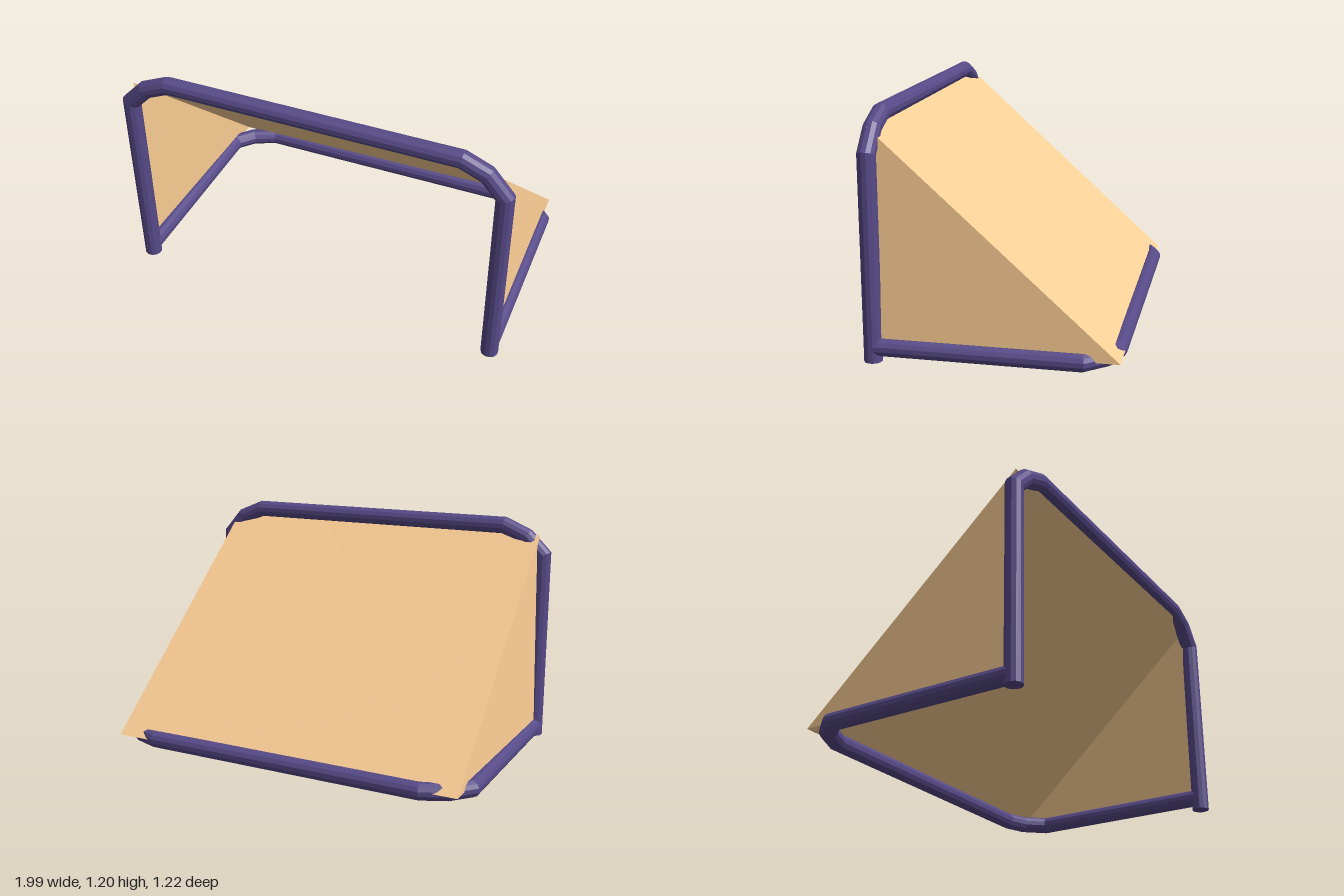
import * as THREE from 'three';

const SIDES = 12;
const RADIUS = 0.044;
const V = (x, y, z) => new THREE.Vector3(x, y, z);

// Pipe with mitred joints along a path that lies in the plane of the given normal
function pipe(name, path, normal, material) {
  const pos = [], index = [];
  const last = path.length - 1;
  path.forEach((p, i) => {
    const before = p.clone().sub(path[Math.max(i - 1, 0)]).normalize();
    const after = path[Math.min(i + 1, last)].clone().sub(p).normalize();
    const tangent = before.clone().add(after).normalize();
    const side = tangent.clone().cross(normal).normalize();
    const stretch = 1 / tangent.dot(i < last ? after : before);
    for (let j = 0; j < SIDES; j++) {
      const a = ((j + 0.5) / SIDES) * Math.PI * 2;
      const q = p.clone()
        .addScaledVector(normal, RADIUS * Math.cos(a))
        .addScaledVector(side, RADIUS * Math.sin(a) * stretch);
      pos.push(q.x, q.y, q.z);
    }
  });
  for (let i = 0; i < last; i++) {
    for (let j = 0; j < SIDES; j++) {
      const a = i * SIDES + j, b = i * SIDES + (j + 1) % SIDES;
      index.push(a, b, b + SIDES, a, b + SIDES, a + SIDES);
    }
  }
  // end caps
  const end = last * SIDES;
  for (let j = 1; j < SIDES - 1; j++) {
    index.push(0, j + 1, j, end, end + j, end + j + 1);
  }
  const geometry = new THREE.BufferGeometry();
  geometry.setAttribute('position', new THREE.Float32BufferAttribute(pos, 3));
  geometry.setIndex(index);
  geometry.computeVertexNormals();
  const mesh = new THREE.Mesh(geometry, material);
  mesh.name = name;
  return mesh;
}

// Thin sheet bilinearly spanned between four corners (a repeated corner gives a triangle)
function sheet(name, [a, b, c, d], material) {
  const geometry = new THREE.PlaneGeometry(1, 1, 8, 8);
  const p = geometry.attributes.position;
  for (let i = 0; i < p.count; i++) {
    const u = p.getX(i) + 0.5, v = p.getY(i) + 0.5;
    const q = a.clone().lerp(b, u).lerp(d.clone().lerp(c, u), v);
    p.setXYZ(i, q.x, q.y, q.z);
  }
  geometry.computeVertexNormals();
  const mesh = new THREE.Mesh(geometry, material);
  mesh.name = name;
  return mesh;
}

export function createModel() {
  const group = new THREE.Group();
  group.name = 'goal';
  const frame = new THREE.MeshStandardMaterial({ color: 0x574a88, flatShading: true });
  const net = new THREE.MeshStandardMaterial({ color: 0xfecf96, side: THREE.DoubleSide });

  // upright frame: two posts and a crossbar with chamfered corners
  group.add(pipe('frontFrame', [
    V(-0.955, 0.02, 0.565), V(-0.955, 1.01, 0.565), V(-0.865, 1.1, 0.565),
    V(-0.74, 1.153, 0.565), V(0.74, 1.141, 0.565), V(0.86, 1.09, 0.565),
    V(0.95, 0.985, 0.565), V(0.95, 0, 0.565),
  ], V(0, 0, 1), frame));

  // ground frame: two side rails and a rear rail
  group.add(pipe('groundFrame', [
    V(-0.955, 0.071, 0.565), V(-0.955, 0.071, -0.425), V(-0.875, 0.071, -0.515),
    V(-0.75, 0.071, -0.57), V(0.75, 0.071, -0.56), V(0.86, 0.071, -0.52),
    V(0.95, 0.071, -0.42), V(0.95, 0.071, 0.565),
  ], V(0, 1, 0), frame));

  // net: sloping back sheet and a triangle on each side
  const topRight = V(-0.935, 1.115, 0.56), topLeft = V(0.908, 1.103, 0.578);
  const backRight = V(-0.945, 0.075, -0.585), backLeft = V(0.953, 0.075, -0.597);
  const footRight = V(-0.965, 0.075, 0.555), footLeft = V(0.955, 0.075, 0.555);
  group.add(sheet('backNet', [backLeft, backRight, topRight, topLeft], net));
  group.add(sheet('rightNet', [backRight, footRight, topRight, topRight], net));
  group.add(sheet('leftNet', [footLeft, backLeft, topLeft, topLeft], net));
  return group;
}
